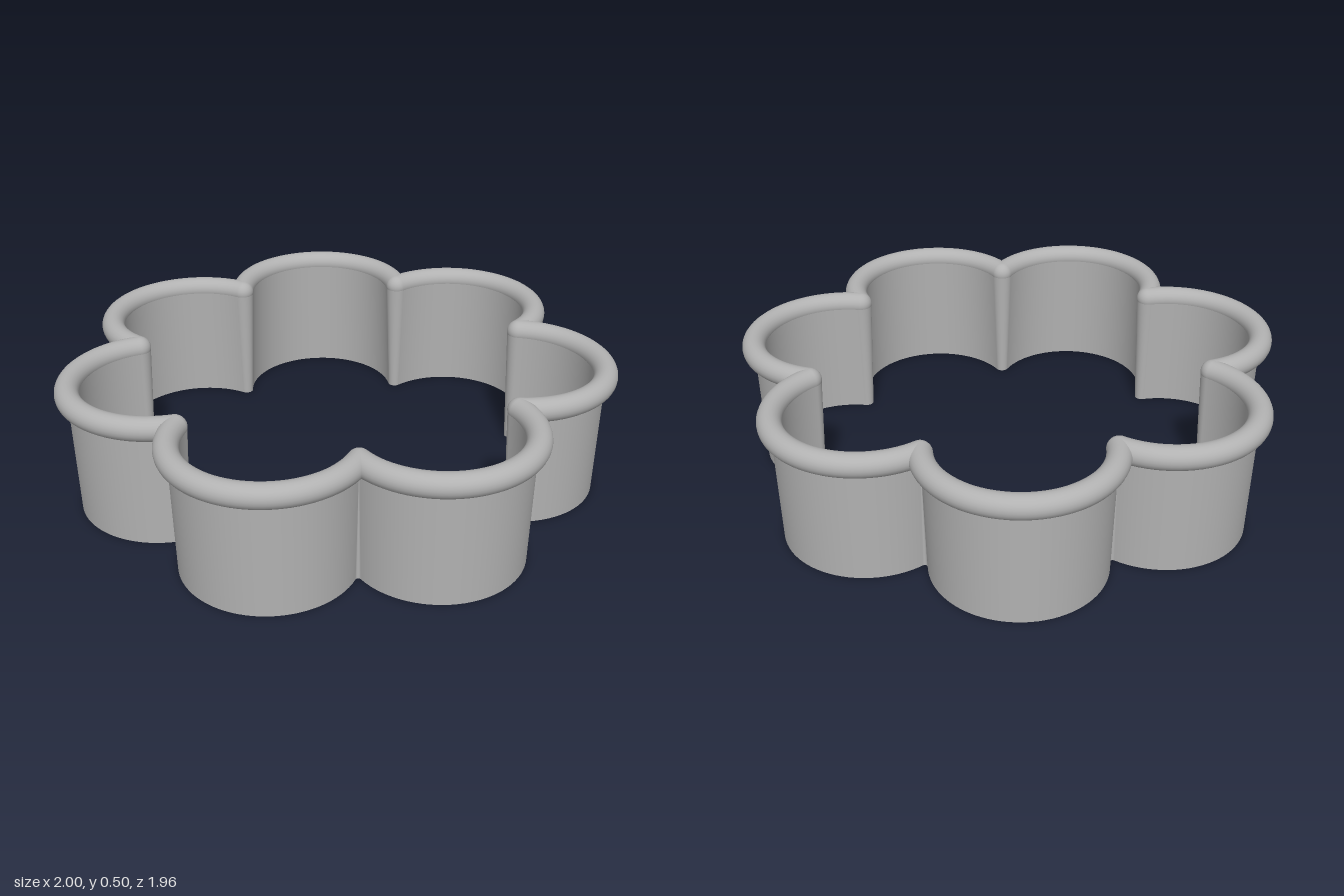
import * as THREE from 'three';

const PETALS = 7;
const RING = 0.6516;     // flower centre to petal centre
const PETAL_R = 0.32;    // petal radius
const RIM_R = 0.0425;    // thickness radius of the rolled rim
const RIM_Y = 0.4575;
const CENTRE_Z = 0.0286;

// Flower outline: petal arcs, with a fan of normals around each notch
function flowerPath(arcSteps = 40, fanSteps = 12) {
  const half = Math.PI / PETALS;
  const notch = RING * Math.cos(half) + Math.sqrt(PETAL_R ** 2 - (RING * Math.sin(half)) ** 2);
  const end = Math.atan2(notch * Math.sin(half), notch * Math.cos(half) - RING);
  const path = [];
  for (let k = 0; k < PETALS; k++) {
    const base = -Math.PI / 2 + k * 2 * half;
    const add = (a, n) => path.push({
      x: RING * Math.cos(base) + PETAL_R * Math.cos(base + a),
      z: RING * Math.sin(base) + PETAL_R * Math.sin(base + a),
      nx: Math.cos(base + n), nz: Math.sin(base + n),
    });
    for (let i = 0; i <= arcSteps; i++) {
      const a = -end + (2 * end * i) / arcSteps;
      add(a, a);
    }
    for (let i = 1; i < fanSteps; i++) {
      add(end, end + ((2 * half - 2 * end) * i) / fanSteps);
    }
  }
  return path;
}

// Sweep profile edges around the closed path; each end is [offset, y, normalOffset, normalY]
function sweep(path, edges) {
  const pos = [], nor = [], idx = [];
  for (const edge of edges) {
    const start = pos.length / 3;
    for (const p of path) {
      for (const [o, y, no, ny] of edge) {
        pos.push(p.x + p.nx * o, y, p.z + p.nz * o);
        nor.push(p.nx * no, ny, p.nz * no);
      }
    }
    for (let i = 0; i < path.length; i++) {
      const a = start + 2 * i, c = start + 2 * ((i + 1) % path.length);
      idx.push(a, a + 1, c, a + 1, c + 1, c);
    }
  }
  const g = new THREE.BufferGeometry();
  g.setAttribute('position', new THREE.Float32BufferAttribute(pos, 3));
  g.setAttribute('normal', new THREE.Float32BufferAttribute(nor, 3));
  g.setIndex(idx);
  return g;
}

// Flat profile edge with its own normal, so corners stay sharp
function flatEdge([o1, y1], [o2, y2]) {
  const len = Math.hypot(o2 - o1, y2 - y1);
  const n = [(y2 - y1) / len, (o1 - o2) / len];
  return [[o1, y1, ...n], [o2, y2, ...n]];
}

export function createModel() {
  const metal = new THREE.MeshStandardMaterial({ color: 0xb2b2b2 });
  metal.name = 'grey metal';
  const path = flowerPath();
  const group = new THREE.Group();
  group.name = 'flowerCutter';

  const addPart = (name, edges) => {
    const mesh = new THREE.Mesh(sweep(path, edges), metal);
    mesh.name = name;
    mesh.position.z = CENTRE_Z;
    group.add(mesh);
  };

  // Wall: thick under the rim, tapering to a thin cutting edge
  const outline = [[-0.01, 0], [0, RIM_Y], [-0.0415, RIM_Y], [-0.025, 0]];
  addPart('cuttingWall', outline.map((p, i) => flatEdge(p, outline[(i + 1) % outline.length])));

  // Rolled rim: round bead along the top
  const sides = 24;
  const rimPoint = (i) => {
    const a = (i / sides) * Math.PI * 2, c = Math.cos(a), s = Math.sin(a);
    return [RIM_R * c, RIM_Y + RIM_R * s, c, s];
  };
  addPart('rolledRim', Array.from({ length: sides }, (_, i) => [rimPoint(i), rimPoint(i + 1)]));

  return group;
}
